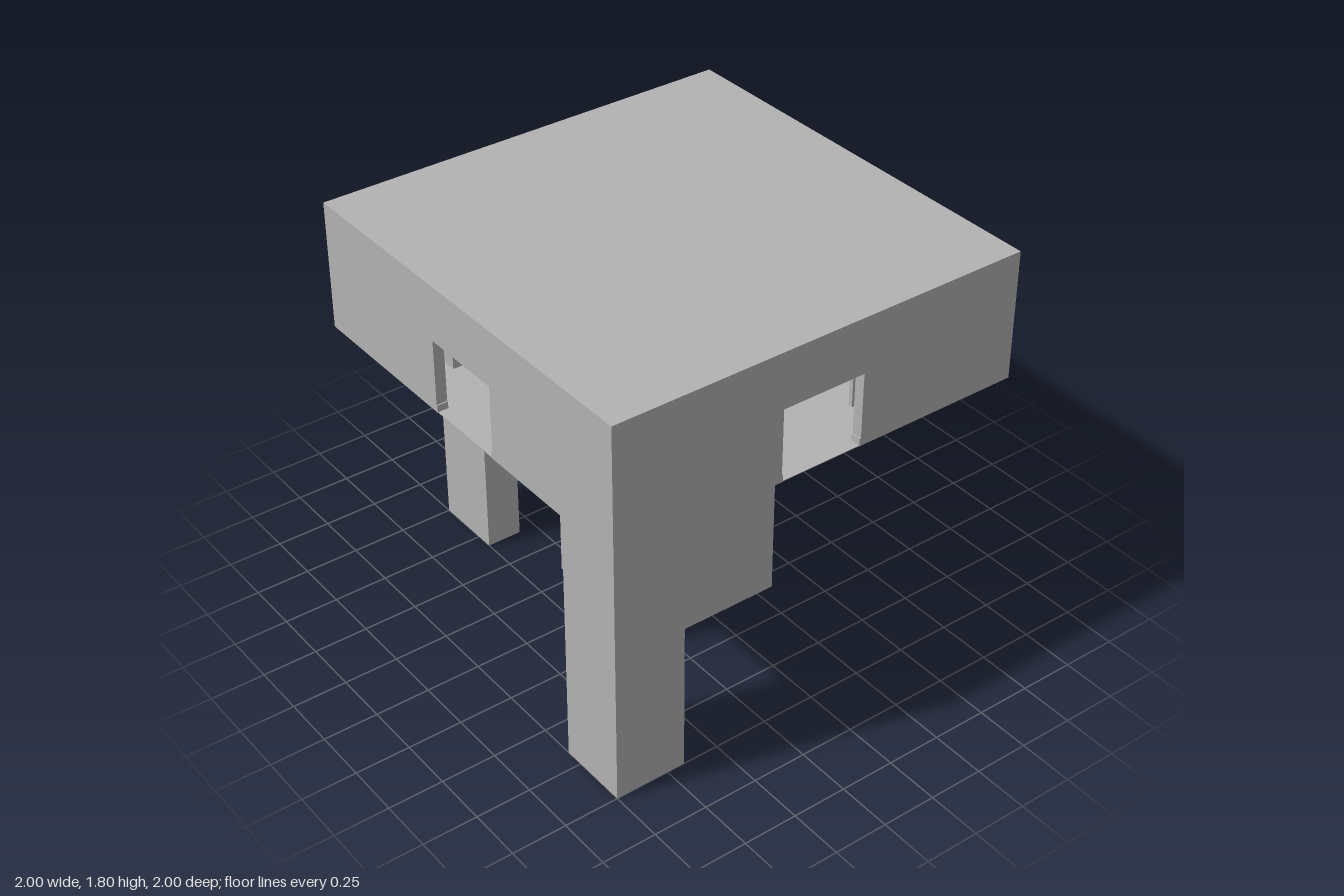
import * as THREE from 'three';

export function createModel() {
  const model = new THREE.Group();
  model.name = 'raisedHouse';
  const grey = new THREE.MeshStandardMaterial({ color: 0xb2b2b2, flatShading: true });
  grey.name = 'plainGrey';

  const add = (name, geometry, x = 0, y = 0, z = 0, parent = model) => {
    const mesh = new THREE.Mesh(geometry, grey);
    mesh.name = name;
    mesh.position.set(x, y, z);
    parent.add(mesh);
    return mesh;
  };
  // Box given by its lower and upper corners
  const block = (name, [x0, y0, z0], [x1, y1, z1], parent) =>
    add(name, new THREE.BoxGeometry(x1 - x0, y1 - y0, z1 - z0),
      (x0 + x1) / 2, (y0 + y1) / 2, (z0 + z1) / 2, parent);

  const BASE = 1.2, TOP = 1.8, WALL = 0.05, T = 1 / 3;

  // Pillars and central core
  block('centralCore', [-T, 0, -T], [T, BASE, T]);
  block('frontLeftPillar', [2 * T, 0, 2 * T], [1, BASE, 1]);
  block('rightPillar', [-1, 0, T], [-2 * T, BASE, 0.5]);
  block('backPillar', [-2 * T, 0, -2 * T], [-T, BASE, -T]);

  // Hollow room: floor, roof and four walls with a doorway each
  block('floor', [-0.998, BASE, -0.998], [0.998, BASE + 0.003, 0.998]);
  block('roof', [-1, TOP - WALL, -1], [1, TOP, 1]);

  const outline = new THREE.Shape([
    [-1, BASE], [-0.2, BASE], [-0.2, 1.54], [0.2, 1.54], [0.2, BASE],
    [1 - WALL, BASE], [1 - WALL, TOP - WALL], [-1, TOP - WALL],
  ].map(([x, y]) => new THREE.Vector2(x, y)));
  const wallGeometry = new THREE.ExtrudeGeometry(outline, { depth: WALL, bevelEnabled: false });
  wallGeometry.translate(0, 0, 1 - WALL);
  ['front', 'left', 'back', 'right'].forEach((side, i) => {
    const group = new THREE.Group();
    group.name = side + 'Side';
    group.rotation.y = i * Math.PI / 2;
    model.add(group);
    add('wall', wallGeometry, 0, 0, 0, group);
    // Low skirting on both door jambs
    for (const s of [-1, 1])
      add('skirting', new THREE.BoxGeometry(0.006, 0.035, WALL),
        s * 0.197, BASE + 0.0175, 1 - WALL / 2, group);
  });

  // Furnishings inside the room
  block('cabinet', [-0.6, BASE, 0.45], [-0.42, 1.36, 0.78]);
  add('hangingLamp', new THREE.CylinderGeometry(0.025, 0.025, 0.26, 4), 0, 1.62, -0.5);

  const stand = new THREE.Group();
  stand.name = 'stand';
  stand.position.set(0.77, BASE, -0.355);
  model.add(stand);
  add('post', new THREE.BoxGeometry(0.02, 0.14, 0.02), 0, 0.07, 0, stand);
  add('arm', new THREE.BoxGeometry(0.015, 0.015, 0.12), 0, 0.12, -0.05, stand);

  const stool = new THREE.Group();
  stool.name = 'stool';
  stool.position.set(-0.77, BASE, 0.32);
  model.add(stool);
  add('stem', new THREE.CylinderGeometry(0.012, 0.012, 0.06, 8), 0, 0.03, 0, stool);
  add('seat', new THREE.CylinderGeometry(0.04, 0.04, 0.02, 10), 0, 0.07, 0, stool);
  add('footBar', new THREE.BoxGeometry(0.12, 0.015, 0.015), 0, 0.03, 0, stool);

  return model;
}
